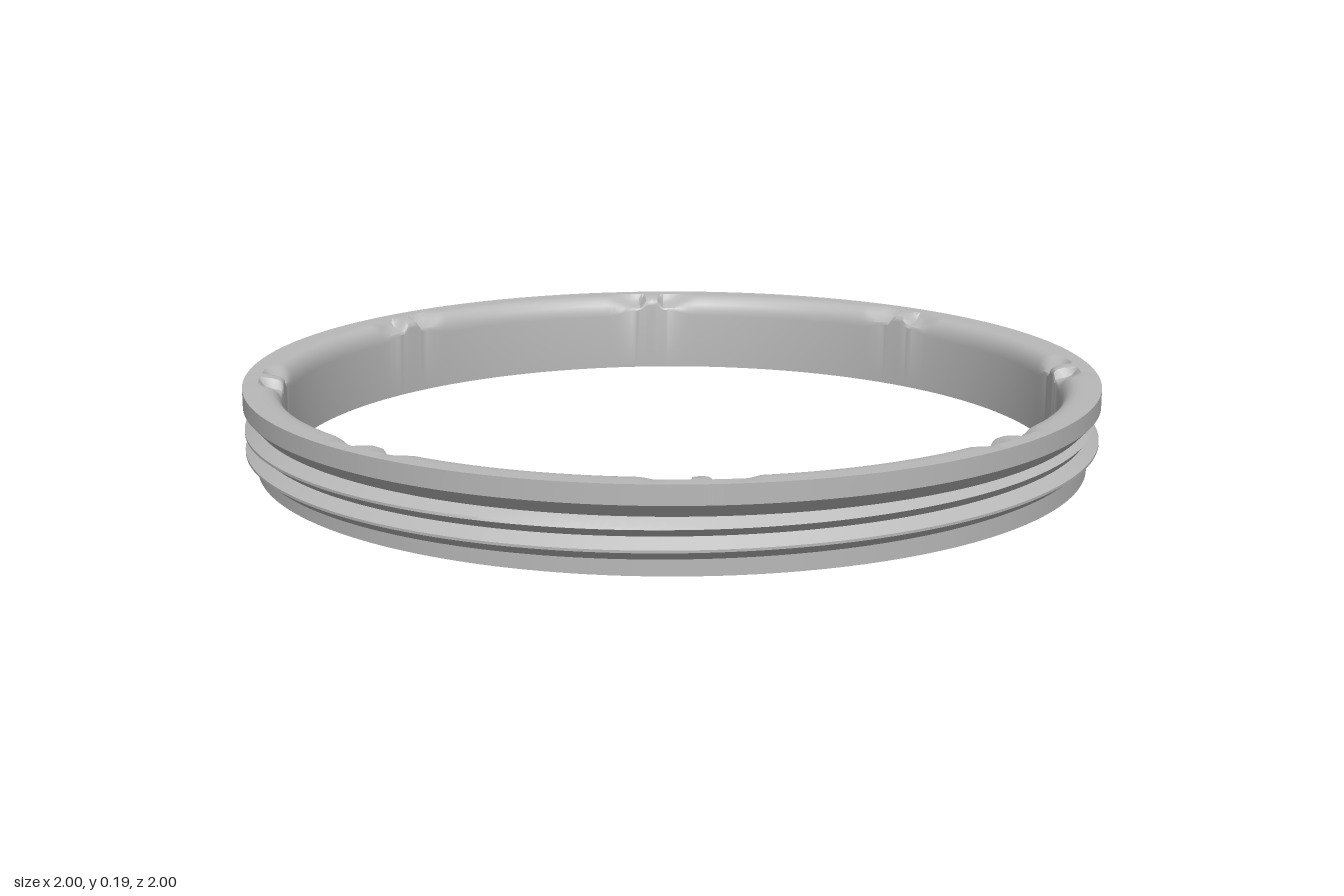
import * as THREE from 'three';
import { toCreasedNormals } from 'three/addons/utils/BufferGeometryUtils.js';

const SEGMENTS = 720, PITCH = 0.047, INNER = 0.91, ROOT = 0.972, HEIGHT = 0.195;
const THREAD_LOW = 0.025, THREAD_HIGH = 0.122;

// Rounded inner edge, the pocketed edge and the raised knob, as [radius, height]
const plainEdge = [[0.91, 0.145], [0.912, 0.16], [0.917, 0.174], [0.925, 0.185], [0.935, 0.192], [0.948, 0.195], [0.965, 0.195]];
const pocketEdge = [[0.91, 0.16], [0.913, 0.165], [0.922, 0.168], [0.936, 0.171], [0.95, 0.176], [0.957, 0.184], [0.965, 0.195]];
const knobEdge = [[0.91, 0.173], [0.911, 0.18], [0.915, 0.186], [0.923, 0.19], [0.935, 0.193], [0.95, 0.195], [0.965, 0.195]];

// Inner edge blended from plain to pocket to knob, repeated every 45 degrees
function innerEdge(angle) {
  const step = Math.PI / 4;
  const d = Math.abs(angle - Math.round(angle / step) * step);
  const pocket = 1 - THREE.MathUtils.smoothstep(d, 0.04, 0.135);
  const knob = 1 - THREE.MathUtils.smoothstep(d, 0.014, 0.036);
  return plainEdge.map((p, i) => p.map((v, k) => {
    const base = THREE.MathUtils.lerp(v, pocketEdge[i][k], pocket);
    return THREE.MathUtils.lerp(base, knobEdge[i][k], knob);
  }));
}

// Helical ridges rising one pitch per turn and fading out at both ends
function threadProfile(angle) {
  const points = [];
  const start = 0.053 + PITCH * angle / (2 * Math.PI);
  for (let k = 3; k >= -2; k--) {
    for (const [offset, crest] of [[0.5, 0], [0.06, 1], [-0.06, 1]]) {
      const y = THREE.MathUtils.clamp(start + (k + offset) * PITCH, THREAD_LOW, THREAD_HIGH);
      const room = Math.min(y - THREAD_LOW, THREAD_HIGH - y) * 1.4;
      points.push([ROOT + crest * Math.min(0.026, room), y]);
    }
  }
  return points;
}

function section(angle) {
  return [
    [INNER, 0], ...innerEdge(angle),
    [1, HEIGHT], [1, 0.152], [ROOT, THREAD_HIGH],
    ...threadProfile(angle),
    [ROOT, THREAD_LOW], [ROOT, 0], [INNER, 0],
  ];
}

// Sweep the changing cross-section around the vertical axis
function ringGeometry() {
  const rings = [];
  for (let j = 0; j <= SEGMENTS; j++) {
    const a = j / SEGMENTS * Math.PI * 2;
    rings.push(section(a).map(([r, y]) => new THREE.Vector3(-r * Math.cos(a), y, r * Math.sin(a))));
  }
  const positions = [];
  const triangle = (a, b, c) => {
    const area = b.clone().sub(a).cross(c.clone().sub(a)).length();
    if (area > 1e-9) for (const p of [a, b, c]) positions.push(p.x, p.y, p.z);
  };
  for (let j = 0; j < SEGMENTS; j++) {
    const here = rings[j], next = rings[j + 1];
    for (let i = 0; i < here.length - 1; i++) {
      triangle(here[i], here[i + 1], next[i]);
      triangle(here[i + 1], next[i + 1], next[i]);
    }
  }
  const geometry = new THREE.BufferGeometry();
  geometry.setAttribute('position', new THREE.Float32BufferAttribute(positions, 3));
  return toCreasedNormals(geometry, Math.PI / 6);
}

export function createModel() {
  const group = new THREE.Group();
  group.name = 'threadedRing';
  const greyMetal = new THREE.MeshStandardMaterial({ color: 0xb8b8b8 });
  greyMetal.name = 'grey';
  const ring = new THREE.Mesh(ringGeometry(), greyMetal);
  ring.name = 'ringBody';
  group.add(ring);
  return group;
}
